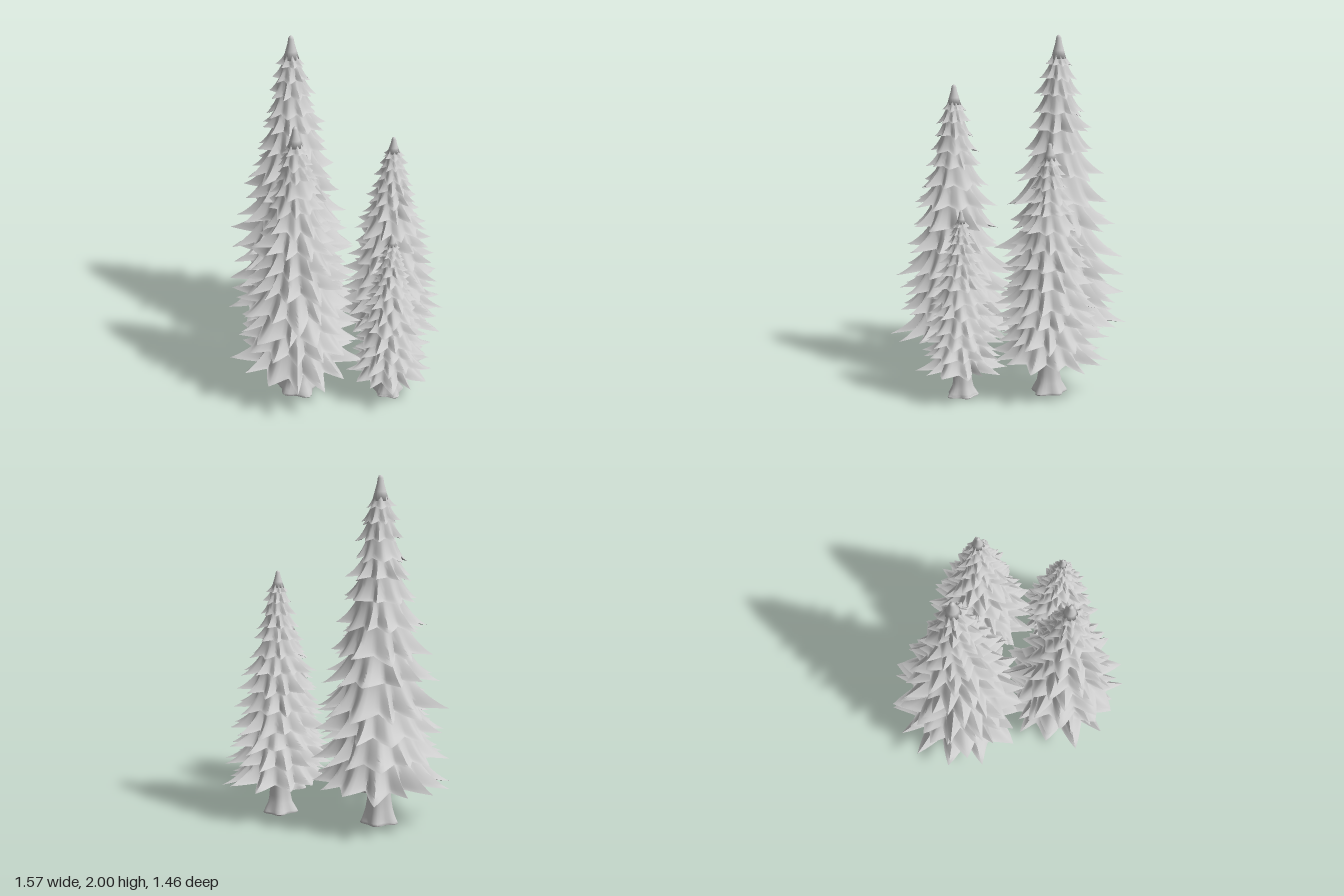
import * as THREE from 'three';
import { toCreasedNormals } from 'three/addons/utils/BufferGeometryUtils.js';

const grey = new THREE.MeshStandardMaterial({ color: 0xcccccc });
grey.name = 'plain grey';

// small seeded random generator
function seeded(seed) {
  let s = seed;
  return () => ((s = (s * 16807) % 2147483647) / 2147483647);
}

// closed surface through rows of points, listed from the top down the outside
function skin(rows, crease) {
  const cols = rows[0].length, pos = [], index = [];
  rows.forEach((row) => row.forEach((p) => pos.push(...p)));
  for (let i = 0; i < rows.length - 1; i++) {
    for (let j = 0; j < cols; j++) {
      const k = (j + 1) % cols;
      const a = i * cols + j, b = i * cols + k;
      const c = a + cols, d = b + cols;
      index.push(a, b, c, b, d, c);
    }
  }
  const g = new THREE.BufferGeometry();
  g.setAttribute('position', new THREE.Float32BufferAttribute(pos, 3));
  g.setIndex(index);
  return toCreasedNormals(g, crease);
}

function addMesh(group, geometry, name) {
  const m = new THREE.Mesh(geometry, grey);
  m.name = name;
  group.add(m);
}

// one skirt of drooping, pointed branches with a closed underside
function tierGeometry(rand, y, R, neckY, neckR, spikes) {
  const cols = [];
  const turn = rand() * 6.28;
  const starts = Array.from({ length: spikes + 1 }, (_, i) => i + (rand() - 0.5) * 0.5);
  starts[spikes] = starts[0] + spikes;
  const valleys = Array.from({ length: spikes }, () => 0.6 + rand() * 0.12);
  const h = neckY - y;
  for (let s = 0; s < spikes; s++) {
    const len = 0.86 + rand() * 0.2, lift = (rand() - 0.45) * 0.24 * h;
    const lean = (rand() - 0.5) * 0.2;
    for (let i = 0; i < 8; i++) {
      const t = i / 8, k = 1 - Math.abs(2 * t - 1);
      const valley = THREE.MathUtils.lerp(valleys[s], valleys[(s + 1) % spikes], t);
      const angle = starts[s] + (starts[s + 1] - starts[s]) * t + lean * k;
      cols.push({
        a: turn + (angle / spikes) * Math.PI * 2,
        r: R * (valley + (len - valley) * Math.pow(k, 1.3)),
        y: y + lift * k + h * 0.12 * (1 - k),
        k,
      });
    }
  }
  const ring = (f) => cols.map((c) => {
    const [r, py] = f(c);
    return [Math.cos(c.a) * r, py, Math.sin(c.a) * r];
  });
  const rows = [];
  for (let i = 0; i <= 8; i++) {
    const u = i / 8;
    rows.push(ring((c) => [
      neckR + (c.r - neckR) * u,
      c.y + (neckY - c.y) * Math.pow(1 - u, 1.75) + h * 0.1 * c.k * u * Math.sin(u * Math.PI),
    ]));
  }
  // underside, hollowed behind the branch points
  rows.push(ring((c) => [R * 0.54 + (c.r - R * 0.54) * 0.45, c.y + h * 0.06]));
  rows.push(ring(() => [R * 0.52, y + h * 0.15]));
  rows.push(ring(() => [0.001, y + h * 0.17]));
  return skin(rows, 1.15);
}

// trunk with a flared, lobed foot
function trunkGeometry(rand, top, r, foot) {
  const phase = rand() * 6.28;
  const profile = [[top, r], [top * 0.65, r * 1.03], [top * 0.42, r * 1.12], [top * 0.25, r * 1.26],
    [top * 0.12, foot * 0.88], [top * 0.05, foot * 0.96], [0.006, foot], [0, foot * 0.97], [0, 0.001]];
  const rows = profile.map(([y, rad], i) => Array.from({ length: 30 }, (_, j) => {
    const a = (j / 30) * Math.PI * 2;
    const lobe = Math.min(1, i / 5) * 0.13;
    const rr = rad * (1 + lobe * (Math.sin(a * 5 + phase) + 0.4 * Math.sin(a * 3 + phase)) - lobe * 0.4);
    return [Math.cos(a) * rr, y, Math.sin(a) * rr];
  }));
  return skin(rows, 1);
}

// tier heights and radii as fractions of the crown
const TIER_Y = [0, 0.09, 0.175, 0.25, 0.345, 0.43, 0.52, 0.6, 0.675, 0.735, 0.795, 0.85, 0.897];
const TIER_R = [1, 0.95, 0.91, 0.88, 0.77, 0.7, 0.64, 0.54, 0.46, 0.385, 0.325, 0.27, 0.2];

function createTree(name, { height, base, radius, trunk, foot, seed }) {
  const rand = seeded(seed);
  const tree = new THREE.Group();
  tree.name = name;
  const crown = height - base;
  addMesh(tree, trunkGeometry(rand, base + crown * 0.04, trunk, foot), 'trunk');
  const n = TIER_Y.length;
  for (let i = 0; i < n; i++) {
    const last = i === n - 1;
    const y = base + crown * TIER_Y[i];
    const next = last ? 0.925 : TIER_Y[i + 1];
    const neckY = base + crown * (next + 0.02);
    const neckR = radius * (last ? 0.07 : TIER_R[i + 1] * 0.5);
    const spikes = Math.round(13 - i * 0.4);
    addMesh(tree, tierGeometry(rand, y, radius * TIER_R[i], neckY, neckR, spikes), 'branchTier' + (i + 1));
  }
  // slender rounded tip
  const tip = [[0.001, 0.92], [0.105, 0.92], [0.075, 0.948], [0.048, 0.972], [0.036, 0.99], [0.024, 0.997], [0, 1]]
    .map(([r, t]) => new THREE.Vector2(r * radius, base + crown * t));
  addMesh(tree, new THREE.LatheGeometry(tip, 16), 'treeTip');
  return tree;
}

export function createModel() {
  const group = new THREE.Group();
  group.name = 'firTrees';
  const trees = [
    ['tallTree', -0.355, -0.075, { height: 2, base: 0.24, radius: 0.435, trunk: 0.064, foot: 0.106, seed: 4211 }],
    ['frontTree', 0.12, 0.345, { height: 1.72, base: 0.235, radius: 0.395, trunk: 0.062, foot: 0.12, seed: 9127 }],
    ['backTree', 0.185, -0.38, { height: 1.44, base: 0.205, radius: 0.34, trunk: 0.056, foot: 0.1, seed: 31337 }],
    ['smallTree', 0.525, -0.015, { height: 1.07, base: 0.16, radius: 0.258, trunk: 0.05, foot: 0.088, seed: 7703 }],
  ];
  for (const [name, x, z, options] of trees) {
    const tree = createTree(name, options);
    tree.position.set(x, 0, z);
    group.add(tree);
  }
  return group;
}
